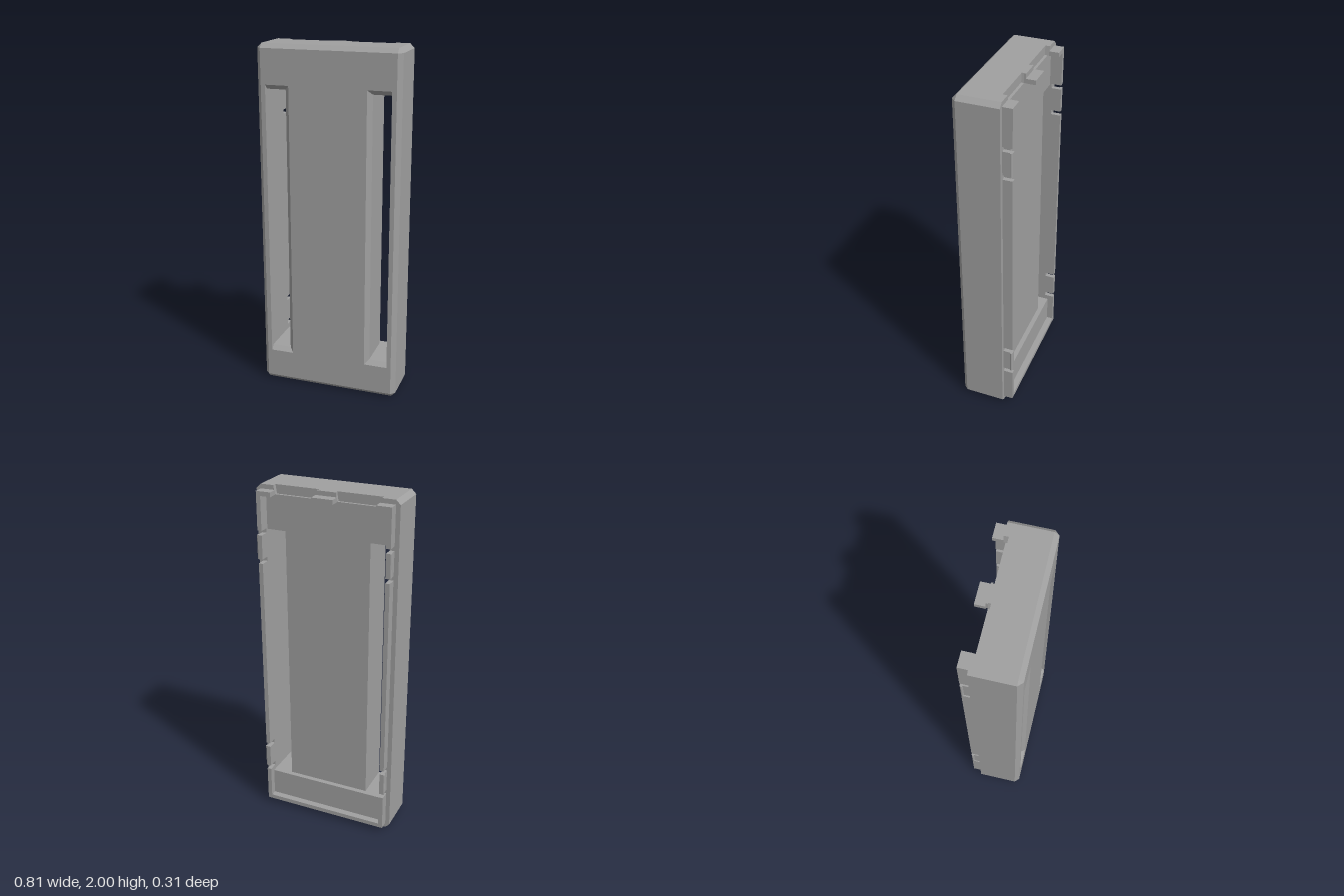
import * as THREE from 'three';

const casing = new THREE.MeshStandardMaterial({ color: 0xa0a0a0 });
casing.name = 'casingGrey';

const W = 0.405, H = 2, C = 0.025;          // half width, height, chamfer
const FRONT = 0.155, RIM = -0.1, BACK = -0.155, FLOOR = -0.09, NOTCH = -0.075;
const IN = 0.355, LIP = 0.38;               // inner and outer half width of the lip
const SLOT = { x: 0.245, y0: 0.215, y1: 1.755 };

const toVec = (pts) => pts.map(([x, y]) => new THREE.Vector2(x, y));
const mirrorX = (pts) => pts.map(([x, y]) => [-x, y]).reverse();

// Closed outline from its right half, listed from bottom to top
const outline = (half) => new THREE.Shape(toVec([...half, ...mirrorX(half)]));

function addSlots(shape) {
  const slot = [[SLOT.x, SLOT.y0], [IN, SLOT.y0], [IN, SLOT.y1], [SLOT.x, SLOT.y1]];
  shape.holes.push(new THREE.Path(toVec(slot)), new THREE.Path(toVec(mirrorX(slot))));
  return shape;
}

function slab(shape, z0, z1) {
  const g = new THREE.ExtrudeGeometry(shape, { depth: z1 - z0, bevelEnabled: false });
  return g.translate(0, 0, z0);
}

export function createModel() {
  const model = new THREE.Group();
  model.name = 'slottedHousing';

  const add = (name, geometry, parent = model) => {
    const mesh = new THREE.Mesh(geometry, casing);
    mesh.name = name;
    parent.add(mesh);
    return mesh;
  };
  const box = (name, x0, x1, y0, y1, z0, z1, parent) => {
    const g = new THREE.BoxGeometry(x1 - x0, y1 - y0, z1 - z0);
    return add(name, g.translate((x0 + x1) / 2, (y0 + y1) / 2, (z0 + z1) / 2), parent);
  };

  const plain = [[W - C, 0], [W, C], [W, H - C], [W - C, H]];
  const notched = [...plain, [0.305, H], [0.297, 1.95], [0.058, 1.95], [0.05, H]];

  // Front slab: outer edge chamfered in, slots flared out on three sides
  const face = slab(addSlots(outline(plain)), FRONT - C, FRONT);
  const p = face.attributes.position;
  for (let i = 0; i < p.count; i++) {
    if (p.getZ(i) < FRONT - C / 2) continue;
    let x = p.getX(i), y = p.getY(i);
    if (Math.abs(Math.abs(x) - SLOT.x) < 1e-4) x = Math.sign(x) * (SLOT.x - C);
    if (Math.abs(y - SLOT.y0) < 1e-4) y -= C;
    else if (Math.abs(y - SLOT.y1) < 1e-4) y += C;
    p.setXY(i, THREE.MathUtils.clamp(x, -W + C, W - C), THREE.MathUtils.clamp(y, C, H - C));
  }
  face.computeVertexNormals();
  add('frontFace', face);

  // Main body, then the layer where the top edge is notched
  add('body', slab(addSlots(outline(plain)), NOTCH, FRONT - C));
  add('notchedBody', slab(addSlots(outline(notched)), FLOOR, NOTCH));

  // Shallow rim around the back recess, open at the two top notches
  add('backRim', slab(outline([
    ...plain, [0.305, H], [0.297, 1.95], [IN, 1.95], [IN, 0.055],
  ]), RIM, FLOOR));
  box('backRimCentre', -0.055, 0.055, 1.95, H, RIM, FLOOR);

  // Raised step across the bottom of the recess
  box('recessStep', -IN, IN, 0.055, SLOT.y0, -0.118, FLOOR);

  // Locating lip on the back
  const lip = new THREE.Group();
  lip.name = 'backLip';
  model.add(lip);
  box('lipBottom', -IN, IN, 0.03, 0.055, BACK, RIM, lip);
  box('lipTopCentre', -0.06, 0.06, 1.95, 1.975, BACK, RIM, lip);
  const spans = [[0.03, 0.245], [0.27, 0.405], [0.43, 1.575], [1.6, 1.735], [1.76, 1.975]];
  for (const s of [1, -1]) {
    const xs = (a, b) => (s > 0 ? [a, b] : [-b, -a]);
    for (const [y0, y1] of spans) box('lipSide', ...xs(IN, LIP), y0, y1, BACK, RIM, lip);
    box('lipTopCorner', ...xs(0.295, IN), 1.95, 1.975, BACK, RIM, lip);
    // Snap ridges on the two short spring tabs
    for (const [y0, y1] of [spans[1], spans[3]]) {
      const g = new THREE.CylinderGeometry(0.0075, 0.0075, y1 - y0, 8).toNonIndexed();
      g.computeVertexNormals();
      add('snapRidge', g.translate(s * LIP, (y0 + y1) / 2, BACK + 0.0075), lip);
    }
  }
  return model;
}
